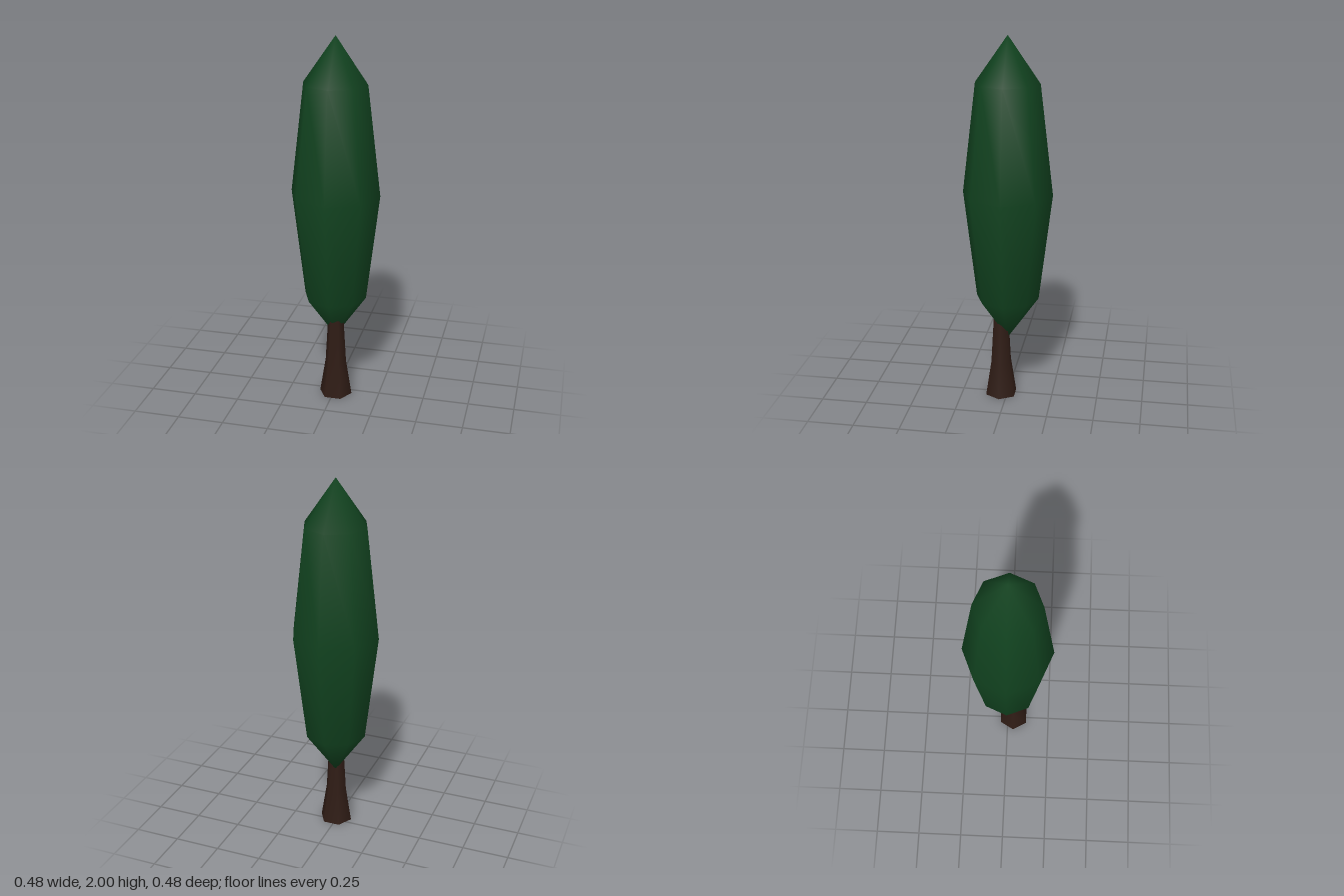
import * as THREE from 'three';

const material = (color) => new THREE.MeshStandardMaterial({ color, roughness: 1 });

export function createModel() {
  const tree = new THREE.Group();
  tree.name = 'tree';
  const green = material(0x11421f);
  const brown = material(0x2f1c15);

  // Tall low-poly crown: stretched 8-sided sphere with smooth normals
  const crown = new THREE.Mesh(new THREE.SphereGeometry(0.24, 8, 4), green);
  crown.name = 'crown';
  crown.scale.y = 0.832 / 0.24;
  crown.position.y = 1.168;
  tree.add(crown);

  // Six-sided trunk flaring at the foot, slightly off the crown's axis
  const trunk = new THREE.Group();
  trunk.name = 'trunk';
  trunk.position.set(0.01, 0, 0.035);
  const profile = [[0.09, 0], [0.058, 0.2], [0.044, 0.44], [0.038, 0.58]]
    .map(([r, y]) => new THREE.Vector2(r, y));
  const bark = new THREE.Mesh(new THREE.LatheGeometry(profile, 6, Math.PI / 2), brown);
  bark.name = 'bark';
  trunk.add(bark);

  // Green underside closing the trunk
  const base = new THREE.Mesh(new THREE.CircleGeometry(0.09, 6).rotateX(Math.PI / 2), green);
  base.name = 'trunkBase';
  trunk.add(base);
  tree.add(trunk);

  return tree;
}
